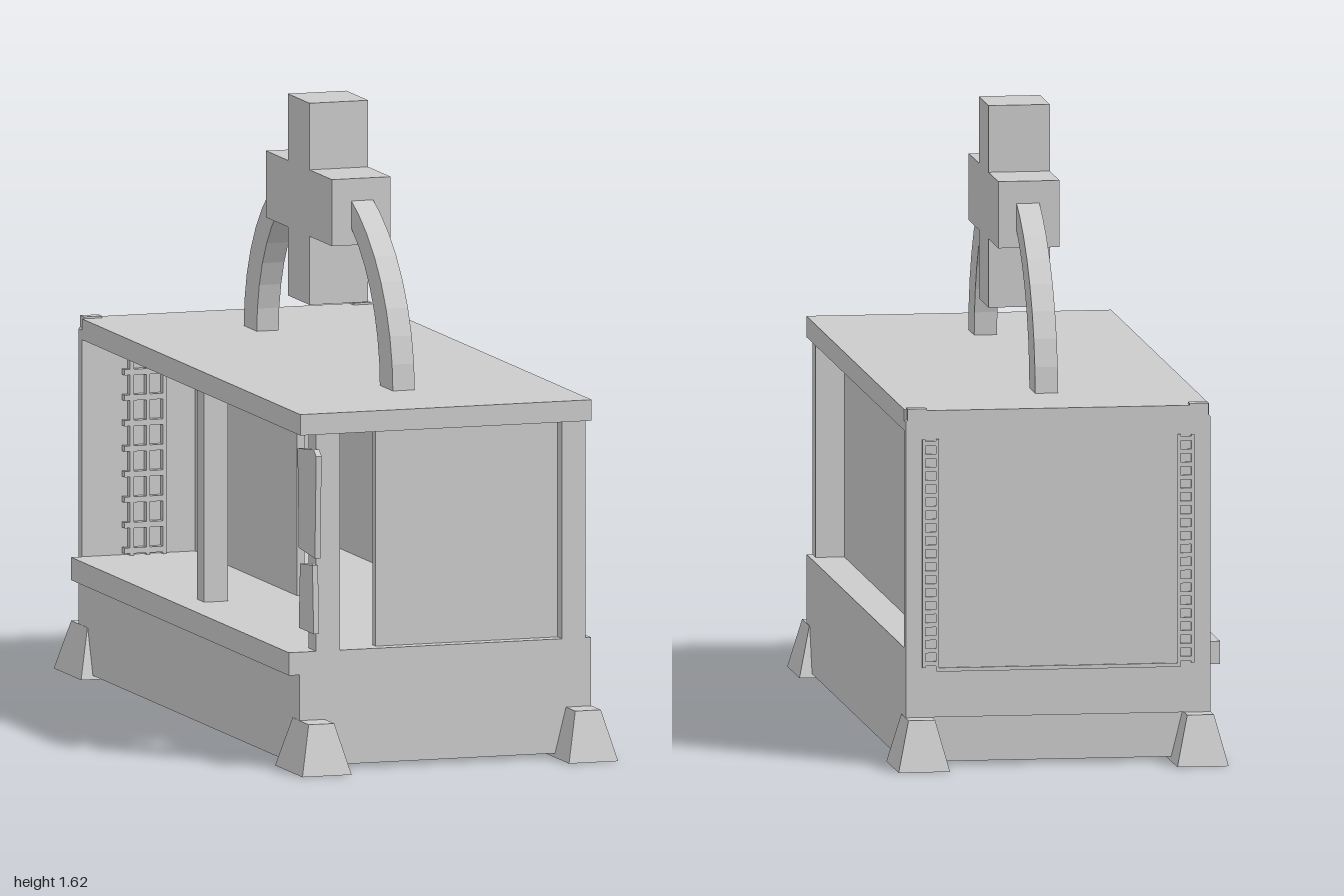
import * as THREE from 'three';

const mat = new THREE.MeshStandardMaterial({ color: 0xcccccc, flatShading: true, side: THREE.DoubleSide });

export function createModel() {
  const model = new THREE.Group();

  const add = (name, geometry, parent = model) => {
    const mesh = new THREE.Mesh(geometry, mat);
    mesh.name = name;
    parent.add(mesh);
    return mesh;
  };
  // box given by its limits on each axis
  const box = (name, x0, x1, y0, y1, z0, z1, parent) => {
    const g = new THREE.BoxGeometry(x1 - x0, y1 - y0, z1 - z0);
    g.translate((x0 + x1) / 2, (y0 + y1) / 2, (z0 + z1) / 2);
    return add(name, g, parent);
  };
  // outline in (z, y), extruded from x0 to x1
  const sideShape = (name, points, x0, x1) => {
    const shape = new THREE.Shape(points.map(([z, y]) => new THREE.Vector2(-z, y)));
    const g = new THREE.ExtrudeGeometry(shape, { depth: x1 - x0, bevelEnabled: false });
    g.rotateY(Math.PI / 2);
    g.translate(x0, 0, 0);
    return add(name, g);
  };

  // body: base, roof and side lip
  box('base', -0.4, 0.4, 0.01, 0.31, -0.87, 0.88);
  box('roof', -0.4, 0.4, 0.88, 0.935, -0.87, 0.885);
  box('sideLip', -0.43, -0.4, 0.25, 0.31, -0.87, 0.88);

  // posts
  box('frontRightPost', -0.355, -0.29, 0.31, 0.88, 0.82, 0.88);
  box('frontLeftPost', 0.32, 0.385, 0.31, 0.88, 0.82, 0.88);
  box('backLeftPost', 0.32, 0.385, 0.31, 0.88, -0.87, -0.82);
  box('middlePost', -0.355, -0.29, 0.31, 0.88, -0.08, -0.02);

  // wall panels and inner partition
  box('frontPanel', -0.18, 0.32, 0.31, 0.88, 0.82, 0.845);
  box('leftPanel', 0.28, 0.31, 0.31, 0.88, -0.87, 0.83);
  box('partition', -0.09, -0.07, 0.31, 0.88, -0.87, -0.05);

  // back door with clipped top corners
  const doorShape = new THREE.Shape([
    [-0.4, 0.13], [0.4, 0.13], [0.4, 0.905], [0.37, 0.935], [-0.37, 0.935], [-0.4, 0.905],
  ].map(([x, y]) => new THREE.Vector2(x, y)));
  const doorGeometry = new THREE.ExtrudeGeometry(doorShape, { depth: 0.03, bevelEnabled: false });
  doorGeometry.translate(0, 0, -0.9);
  add('backDoor', doorGeometry);

  // rims and rungs on the outside of the door
  const doorTrim = new THREE.Group();
  doorTrim.name = 'doorTrim';
  model.add(doorTrim);
  for (const s of [-1, 1]) {
    const x = s * 0.335;
    box('doorRim', x - 0.022, x - 0.014, 0.26, 0.86, -0.905, -0.9, doorTrim);
    box('doorRim', x + 0.014, x + 0.022, 0.26, 0.86, -0.905, -0.9, doorTrim);
    for (let i = 0; i < 18; i++) {
      const y = 0.265 + i * 0.034;
      box('doorRung', x - 0.014, x + 0.014, y, y + 0.012, -0.905, -0.9, doorTrim);
    }
    box('hingeBlock', s * 0.37 - 0.025, s * 0.37 + 0.025, 0.89, 0.94, -0.9, -0.87);
  }
  box('doorSill', -0.32, 0.32, 0.25, 0.26, -0.905, -0.9, doorTrim);

  // grille on the inside of the door
  const grille = new THREE.Group();
  grille.name = 'grille';
  model.add(grille);
  for (const x of [-0.27, -0.225, -0.18]) {
    box('grilleUpright', x - 0.005, x + 0.005, 0.31, 0.88, -0.87, -0.85, grille);
  }
  for (let i = 0; i < 9; i++) {
    const y = 0.315 + i * 0.067;
    box('grilleBar', -0.29, -0.18, y, y + 0.015, -0.87, -0.85, grille);
  }

  // thin plates beside the front right post
  sideShape('upperPlate', [[0.79, 0.57], [0.92, 0.56], [0.93, 0.83], [0.91, 0.845], [0.78, 0.83]], -0.372, -0.357);
  sideShape('lowerPlate', [[0.79, 0.36], [0.91, 0.36], [0.9, 0.54], [0.8, 0.53]], -0.372, -0.357);

  // tapered feet
  for (const sx of [-1, 1]) {
    for (const sz of [-1, 1]) {
      const g = new THREE.BoxGeometry(1, 0.13, 1);
      const p = g.attributes.position;
      for (let i = 0; i < p.count; i++) {
        const top = p.getY(i) > 0;
        p.setX(i, p.getX(i) * (top ? 0.07 : 0.135));
        p.setZ(i, p.getZ(i) * (top ? 0.13 : 0.22));
      }
      g.translate(sx * 0.366, 0.065, sz * 0.89);
      g.computeVertexNormals();
      add('foot', g);
    }
  }

  // two arch arms, each tapering up to the cross
  for (const s of [-1, 1]) {
    const outer = [], inner = [];
    const steps = 8;
    for (let i = 0; i <= steps; i++) {
      const a = (i / steps) * 1.15;
      outer.push([-0.025 + s * 0.6 * Math.cos(a), 0.93 + 0.51 * Math.sin(a)]);
      inner.push([-0.025 + s * 0.495 * Math.cos(a), 0.93 + 0.456 * Math.sin(a)]);
    }
    sideShape('archArm', [...outer, ...inner.reverse()], -0.04, 0.02);
  }

  // cross on top
  sideShape('cross', [
    [0.06, 1.09], [0.06, 1.27], [0.24, 1.27], [0.24, 1.445], [0.06, 1.445], [0.06, 1.62],
    [-0.115, 1.62], [-0.115, 1.445], [-0.29, 1.445], [-0.29, 1.27], [-0.115, 1.27], [-0.115, 1.09],
  ], -0.093, 0.068);

  return model;
}
